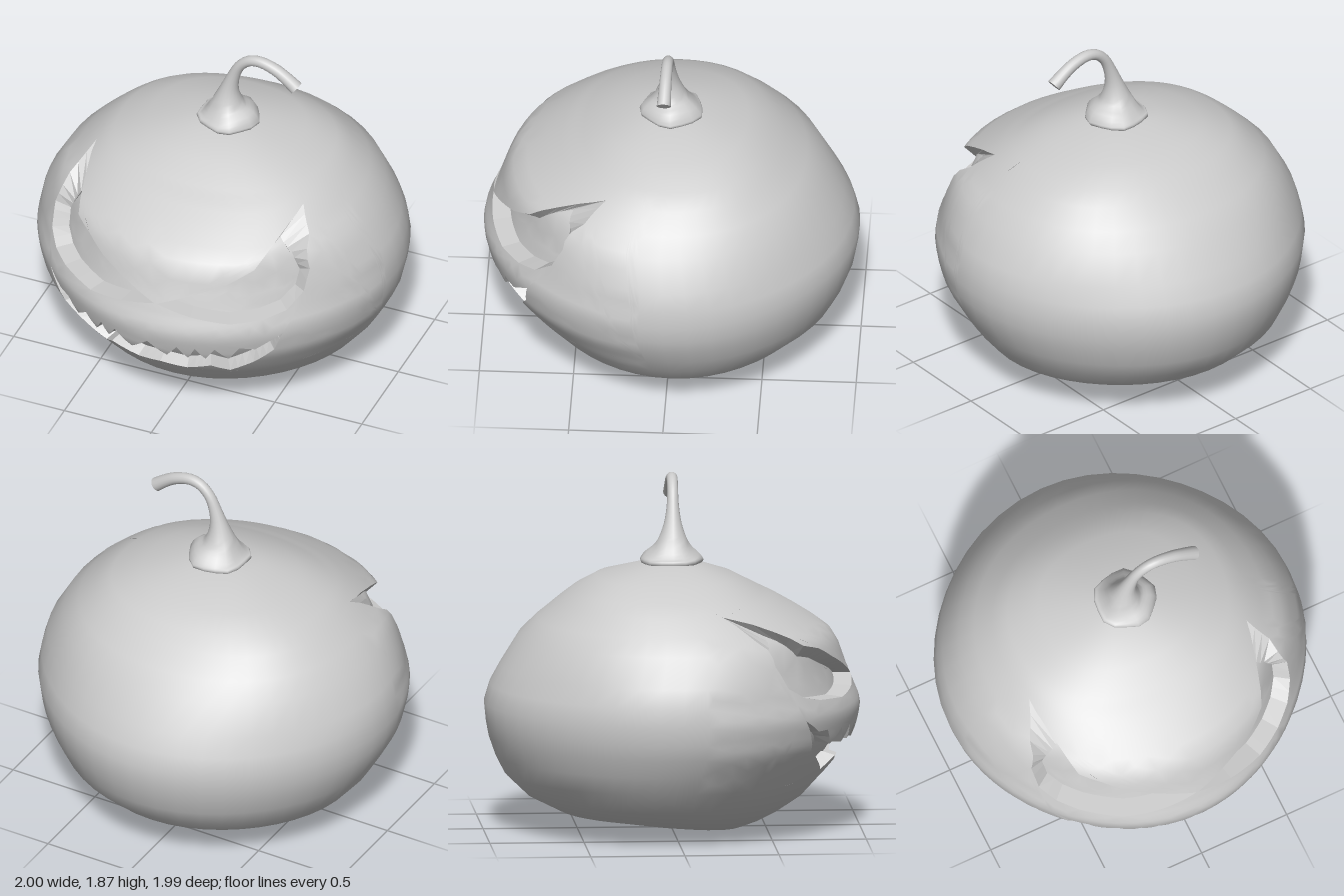
import * as THREE from 'three';
import { mergeVertices } from 'three/addons/utils/BufferGeometryUtils.js';

const MAT = new THREE.MeshStandardMaterial({ color: 0xcccccc });

// Body rings: height, half width, front z, back z
const RINGS = [
  [0, 0, 0.29, 0.29], [0.01, 0.2, 0.38, 0.1], [0.03, 0.33, 0.42, -0.06], [0.06, 0.48, 0.49, -0.28],
  [0.105, 0.63, 0.575, -0.6], [0.19, 0.77, 0.7, -0.77], [0.3, 0.86, 0.8, -0.885],
  [0.4, 0.915, 0.885, -0.935], [0.5, 0.965, 0.955, -0.97], [0.58, 0.985, 0.985, -0.985],
  [0.68, 1, 1, -0.995], [0.78, 0.985, 0.965, -0.965], [0.88, 0.96, 0.925, -0.91],
  [1.04, 0.87, 0.86, -0.81], [1.13, 0.78, 0.745, -0.715], [1.22, 0.68, 0.59, -0.6],
  [1.28, 0.59, 0.47, -0.52], [1.35, 0.42, 0.34, -0.4], [1.41, 0.2, 0.17, -0.18], [1.43, 0, 0, 0],
];
const TOP = RINGS.length - 1;
const COLS = 48, STEP = (Math.PI * 2) / COLS;
const WIN = { u: 11, v0: 6, v1: 16 }; // front panel that holds the carving
const DEPTH = 0.9; // scale of the inner shell

// Smooth blend between the listed rings
function ring(v) {
  const i = Math.min(Math.floor(v), TOP - 1), t = v - i;
  const before = RINGS[Math.max(i - 1, 0)], after = RINGS[Math.min(i + 2, TOP)];
  return RINGS[i].map((b, k) => {
    const a = before[k], c = RINGS[i + 1][k], d = after[k];
    return b + 0.5 * t * (c - a + t * (2 * a - 5 * b + 4 * c - d + t * (3 * (b - c) + d - a)));
  });
}

// Rings are a little pinched on the diagonals low down, fuller near the top
function fullness(angle, y) {
  return 1 + THREE.MathUtils.clamp((y - 1) * 0.15, -0.02, 0.05) * Math.sin(2 * angle) ** 2;
}

// Surface point from column u (0 is the front) and ring v
function surface({ x: u, y: v }, scale = 1) {
  const [y, w, zf, zb] = ring(v);
  const a = u * STEP, f = fullness(a, y) * scale;
  const z = (zf + zb) / 2 * scale + ((zf - zb) / 2) * Math.cos(a) * f;
  return new THREE.Vector3(w * Math.sin(a) * f, y, z);
}

function normal({ x: u, y }, scale) {
  const v = THREE.MathUtils.clamp(y, 0.05, TOP - 0.05), e = 0.02;
  const du = surface({ x: u + e, y: v }, scale).sub(surface({ x: u - e, y: v }, scale));
  const dv = surface({ x: u, y: v + e }, scale).sub(surface({ x: u, y: v - e }, scale));
  return du.cross(dv).normalize();
}

// Column and ring of a front-facing point x, y
function toUV([x, y]) {
  let lo = 0, hi = TOP;
  for (let i = 0; i < 30; i++) {
    const mid = (lo + hi) / 2;
    if (ring(mid)[0] < y) lo = mid;
    else hi = mid;
  }
  const w = ring(lo)[1];
  let a = 0;
  for (let i = 0; i < 8; i++) a = Math.asin(THREE.MathUtils.clamp(x / (w * fullness(a, y)), -1, 1));
  return new THREE.Vector2(a / STEP, lo);
}

// Splits long edges so a flat triangle can follow the curved surface
function bend(a, b, c, out) {
  const ab = a.distanceTo(b);
  const longest = Math.max(ab, b.distanceTo(c), c.distanceTo(a));
  if (longest <= 1.05) {
    out.push(a, b, c);
  } else if (ab < longest) {
    bend(b, c, a, out);
  } else {
    const mid = a.clone().add(b).multiplyScalar(0.5);
    bend(a, mid, c, out);
    bend(mid, b, c, out);
  }
}

// Curved sheet inside a contour, with holes
function sheet(contour, holes, out) {
  const pts = [contour, ...holes].flat();
  for (const [i, j, k] of THREE.ShapeUtils.triangulateShape(contour, holes)) {
    const a = pts[i], b = pts[j], c = pts[k];
    const area = THREE.ShapeUtils.area([a, b, c]);
    if (area > 0) bend(a, b, c, out);
    else if (area < 0) bend(a, c, b, out);
  }
}

function geometry(points) {
  return new THREE.BufferGeometry().setFromPoints(points);
}

function mesh(name, g) {
  const m = new THREE.Mesh(g, MAT);
  m.name = name;
  return m;
}

// Smooth skin from column and ring coordinates
function skin(name, uvs, scale) {
  const g = geometry(uvs.map((p) => surface(p, scale)));
  const normals = uvs.flatMap((p) => normal(p, scale).toArray());
  g.setAttribute('normal', new THREE.Float32BufferAttribute(normals, 3));
  return mesh(name, g);
}

// Counter-clockwise outline with evenly divided edges
function outline(points) {
  const ccw = THREE.ShapeUtils.area(points.map((p) => new THREE.Vector2(...p))) > 0;
  const list = ccw ? points : [...points].reverse();
  return list.flatMap(([x, y], i) => {
    const [x2, y2] = list[(i + 1) % list.length];
    const n = Math.ceil(Math.hypot(x2 - x, y2 - y) / 0.06);
    return Array.from({ length: n }, (_, k) => [x + ((x2 - x) * k) / n, y + ((y2 - y) * k) / n]);
  });
}

// Rim walls and recessed floor of one carved opening
function carving(name, points, squash) {
  const inner = points.map(([x, y]) => toUV([x, squash(x, y)]));
  const front = points.map((p) => surface(toUV(p)));
  const back = inner.map((p) => surface(p, DEPTH));
  const walls = front.flatMap((A, i) => {
    const j = (i + 1) % front.length;
    return [A, front[j], back[j], A, back[j], back[i]];
  });
  const rim = geometry(walls);
  rim.computeVertexNormals();
  const floor = [];
  sheet(inner, [], floor);
  const g = new THREE.Group();
  g.name = name;
  g.add(mesh(name + 'Rim', rim), skin(name + 'Floor', floor, DEPTH));
  return g;
}

function body(holes) {
  const out = [], at = (u, v) => new THREE.Vector2(u, v);
  // Plain rings everywhere except the front panel
  for (let v = 0; v < TOP; v++) {
    for (let u = -COLS / 2; u < COLS / 2; u++) {
      if (v >= WIN.v0 && v < WIN.v1 && u >= -WIN.u && u < WIN.u) continue;
      if (v > 0) out.push(at(u, v), at(u + 1, v), at(u + 1, v + 1));
      if (v < TOP - 1) out.push(at(u, v), at(u + 1, v + 1), at(u, v + 1));
    }
  }
  // Front panel with the openings cut out
  const frame = [];
  for (let u = -WIN.u; u < WIN.u; u++) frame.push(at(u, WIN.v0));
  for (let v = WIN.v0; v < WIN.v1; v++) frame.push(at(WIN.u, v));
  for (let u = WIN.u; u > -WIN.u; u--) frame.push(at(u, WIN.v1));
  for (let v = WIN.v1; v > WIN.v0; v--) frame.push(at(-WIN.u, v));
  sheet(frame, holes.map((h) => h.map(toUV)), out);
  return skin('pumpkinBody', out, 1);
}

// Flared base narrowing into a hooked stalk: x, y, radius
function stem() {
  const path = new THREE.CatmullRomCurve3([
    [0.03, 1.4, 0.15], [0.03, 1.425, 0.167], [0.03, 1.45, 0.153], [0.025, 1.5, 0.102], [0.027, 1.55, 0.073],
    [0.037, 1.62, 0.048], [0.06, 1.7, 0.034], [0.095, 1.775, 0.029], [0.15, 1.825, 0.029],
    [0.215, 1.838, 0.03], [0.3, 1.815, 0.032], [0.36, 1.78, 0.034], [0.425, 1.73, 0.038],
  ].map((p) => new THREE.Vector3(...p))).getPoints(36);
  const SIDES = 16, last = path.length - 1, out = [], cap = [];
  const point = (i, k) => {
    const { x, y, z: radius } = path[i];
    const p = path[Math.max(i - 1, 0)], n = path[Math.min(i + 1, last)];
    const l = Math.hypot(n.x - p.x, n.y - p.y);
    const a = ((k % SIDES) / SIDES) * Math.PI * 2;
    const r = radius * (y < 1.52 ? 1 + 0.05 * Math.cos(5 * a + 0.5) : 1);
    const side = (r * Math.cos(a)) / l;
    return new THREE.Vector3(
      x + side * (n.y - p.y), y - side * (n.x - p.x), (0.025 * i) / last - r * Math.sin(a));
  };
  for (let k = 0; k < SIDES; k++) {
    for (let i = 0; i < last; i++) {
      const a = point(i, k), c = point(i + 1, k + 1);
      out.push(a, point(i, k + 1), c, a, c, point(i + 1, k));
    }
    cap.push(new THREE.Vector3(path[last].x, path[last].y, 0.025), point(last, k), point(last, k + 1));
  }
  const stalk = mergeVertices(geometry(out)), end = geometry(cap);
  stalk.computeVertexNormals();
  end.computeVertexNormals();
  const g = new THREE.Group();
  g.name = 'stem';
  g.add(mesh('stalk', stalk), mesh('stalkEnd', end));
  return g;
}

export function createModel() {
  const leftEye = outline([[0.006, 0.82], [0.2, 0.78], [0.4, 0.75], [0.55, 0.76], [0.65, 0.79],
    [0.71, 0.87], [0.72, 0.98], [0.67, 1.12], [0.59, 1.22], [0.48, 1.03], [0.36, 0.96]]);
  const rightEye = outline([[-0.006, 0.82], [-0.2, 0.78], [-0.4, 0.75], [-0.6, 0.765], [-0.69, 0.79],
    [-0.75, 0.85], [-0.76, 0.97], [-0.72, 1.1], [-0.64, 1.22], [-0.56, 1.05], [-0.46, 1.02], [-0.35, 0.96]]);
  // Lower lip, then the upper teeth
  const mouth = outline([[-0.72, 0.67], [-0.62, 0.49], [-0.47, 0.41], [-0.355, 0.355], [-0.29, 0.42],
    [-0.14, 0.365], [0, 0.39], [0.14, 0.365], [0.28, 0.425], [0.355, 0.355], [0.49, 0.45], [0.6, 0.55],
    [0.645, 0.665], [0.52, 0.575], [0.45, 0.595], [0.39, 0.51], [0.33, 0.59], [0.275, 0.51], [0.23, 0.59],
    [0.185, 0.505], [0.135, 0.59], [0.07, 0.505], [-0.03, 0.59], [-0.135, 0.5], [-0.23, 0.59], [-0.28, 0.51],
    [-0.32, 0.59], [-0.365, 0.505], [-0.43, 0.59], [-0.5, 0.515], [-0.565, 0.6], [-0.63, 0.6]]);
  const eyeSquash = (x, y) => 0.82 + (y - 0.82) * (y > 0.82 ? 0.72 : 0.9);
  const mouthSquash = (x, y) =>
    Math.min(0.55 + (y - 0.55) * 0.85, 0.505 + Math.max(0, Math.abs(x) - 0.45) * 0.65);

  const model = new THREE.Group();
  model.name = 'carvedPumpkin';
  model.add(body([leftEye, rightEye, mouth]), stem(), carving('mouth', mouth, mouthSquash),
    carving('leftEye', leftEye, eyeSquash), carving('rightEye', rightEye, eyeSquash));
  return model;
}
